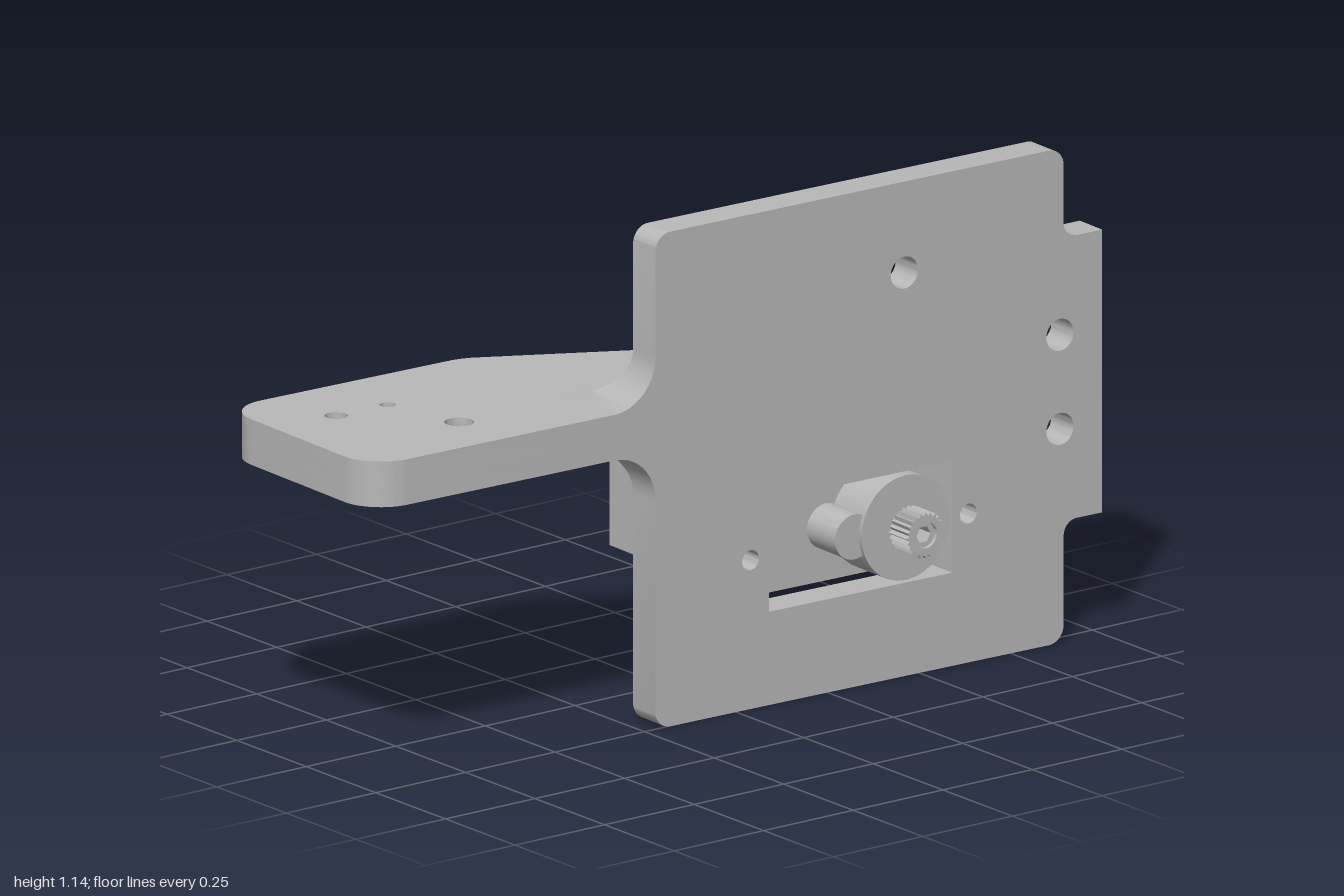
import * as THREE from 'three';
import { toCreasedNormals } from 'three/addons/utils/BufferGeometryUtils.js';

const grey = new THREE.MeshStandardMaterial({ color: 0xb8b8b8 });
grey.name = 'grey';

// Outline from [x, y, cornerRadius] points
function rounded(points) {
  const s = new THREE.Shape(), n = points.length;
  points.forEach(([x, y, r = 0], i) => {
    const p = new THREE.Vector2(x, y);
    const toward = (q) => p.clone().add(new THREE.Vector2(q[0], q[1]).sub(p).setLength(r));
    const a = r ? toward(points[(i + n - 1) % n]) : p;
    if (i === 0) s.moveTo(a.x, a.y); else s.lineTo(a.x, a.y);
    if (r) {
      const b = toward(points[(i + 1) % n]);
      s.bezierCurveTo(a.x + (x - a.x) * 0.55, a.y + (y - a.y) * 0.55,
        b.x + (x - b.x) * 0.55, b.y + (y - b.y) * 0.55, b.x, b.y);
    }
  });
  s.closePath();
  return s;
}
const rect = (x0, y0, x1, y1) => rounded([[x0, y0], [x1, y0], [x1, y1], [x0, y1]]);
function circle(x, y, r) {
  const s = new THREE.Shape();
  s.absarc(x, y, r, 0, Math.PI * 2, false);
  return s;
}

export function createModel() {
  const model = new THREE.Group();
  model.name = 'servoBracket';
  const add = (name, geometry, parent = model) => {
    const m = new THREE.Mesh(toCreasedNormals(geometry, 0.6), grey);
    m.name = name;
    parent.add(m);
    return m;
  };
  const extrude = (shape, holes, depth) => {
    shape.holes.push(...holes);
    return new THREE.ExtrudeGeometry(shape, { depth, bevelEnabled: false, curveSegments: 16 });
  };
  // Outline in (-z, y), extruded along x
  const alongX = (shape, x0, x1, holes = []) =>
    extrude(shape, holes, x1 - x0).rotateY(Math.PI / 2).translate(x0, 0, 0);
  // Outline in (x, -z), extruded along y
  const alongY = (shape, y0, y1, holes = []) =>
    extrude(shape, holes, y1 - y0).rotateX(-Math.PI / 2).translate(0, y0, 0);
  const box = (x0, x1, y0, y1, z0, z1) => new THREE.BoxGeometry(x1 - x0, y1 - y0, z1 - z0)
    .translate((x0 + x1) / 2, (y0 + y1) / 2, (z0 + z1) / 2);

  const left = 0.174, right = 0.257, front = 0.213, midY = 0.343;

  // Upright plate with back tab, window and bolt holes
  const plate = rounded([
    [-front, 0, 0.04], [0.902, 0, 0.04], [0.902, 0.28, 0.035], [1.007, 0.28],
    [1.007, 0.932], [0.902, 0.932, 0.035], [0.902, 1.14, 0.04], [-front, 1.14, 0.04],
  ]);
  add('plate', alongX(plate, left, right, [
    rect(0.097, 0.215, 0.597, 0.472),
    circle(0.467, 0.93, 0.037), circle(0.892, 0.71, 0.037), circle(0.892, 0.493, 0.037),
    circle(0.047, midY, 0.023), circle(0.642, midY, 0.023),
  ]));

  // Horizontal arm: solid upper layer, lower layer with a slotted pocket
  const armShape = () => rounded([
    [0.2, 0.42], [0.075, 0.365, 0.06], [-0.288, -0.345, 0.03], [-0.292, -0.99, 0.1],
    [right, -0.99, 0.1], [right, -0.2], [0.2, -0.2],
  ]);
  const bolt = () => circle(0.098, -0.632, 0.033);
  add('armTop', alongY(armShape(), 0.69, 0.745, [
    bolt(), circle(-0.1, -0.683, 0.018), circle(-0.101, -0.823, 0.026),
  ]));
  const slot = new THREE.Path();
  slot.absarc(-0.1, -0.683, 0.07, 0, Math.PI, false);
  slot.absarc(-0.1, -0.823, 0.07, Math.PI, Math.PI * 2, false);
  slot.closePath();
  add('armBottom', alongY(armShape(), 0.64, 0.69, [bolt(), slot]));

  // Concave fillets wrapping the plate corner, above and below the arm
  function fillet(y, sign) {
    const r = 0.112, steps = 14, pos = [], idx = [];
    for (let i = 0; i <= steps; i++) {
      const a = (i / steps) * Math.PI / 2;
      const d = r - r * Math.sin(a), h = y + sign * (r - r * Math.cos(a));
      const x = left - d, back = -0.405 + d * 0.5;
      pos.push(right, h, front + d, x, h, front + d, x, h, back, right - 0.02, h, -0.405,
        right - 0.02, h, front - 0.01, right, h, front - 0.01);
    }
    const tri = (a, b, c) => (sign > 0 ? idx.push(a, c, b) : idx.push(a, b, c));
    for (let i = 0; i < steps; i++) {
      for (let k = 0; k < 6; k++) {
        const a = i * 6 + k, b = i * 6 + (k + 1) % 6;
        tri(a, b, b + 6);
        tri(a, b + 6, a + 6);
      }
    }
    const g = new THREE.BufferGeometry();
    g.setAttribute('position', new THREE.Float32BufferAttribute(pos, 3));
    g.setIndex(idx);
    return g;
  }
  add('upperFillet', fillet(0.745, 1));
  add('lowerFillet', fillet(0.64, -1));

  // Servo motor
  const servo = new THREE.Group();
  servo.name = 'servo';
  model.add(servo);
  const y0 = 0.217, y1 = 0.468;
  add('servoBody', box(-0.352, 0.045, y0, y1, -0.6, -0.107), servo);
  add('servoUpperBody', box(0.045, 0.145, y0, y1, -0.59, -0.107), servo);
  for (const y of [y0 - 0.002, y1 + 0.002]) {
    add('label', box(-0.233, 0, y - 0.003, y + 0.003, -0.57, -0.14), servo);
  }

  // Mounting ears with open screw notches, and spacer blocks behind the plate
  for (const s of [-1, 1]) {
    const at = (v) => 0.347 + s * v;
    const ear = rounded([
      [at(0.23), y0], [at(0.342), y0], [at(0.342), midY - 0.013], [at(0.31), midY - 0.013],
      [at(0.295), midY - 0.024], [at(0.274), midY], [at(0.295), midY + 0.024],
      [at(0.31), midY + 0.013], [at(0.342), midY + 0.013], [at(0.342), y1], [at(0.23), y1],
    ]);
    add('ear', alongX(ear, 0.04, 0.1, []), servo);
    add('spacer', alongX(rect(at(0.26), y0, at(0.342), y1), 0.1, left, [
      circle(at(0.297), midY, 0.023),
    ]), servo);
  }

  // Gear tower, side boss and output spline
  const axis = 0.469;
  add('gearTower', alongX(circle(axis, midY, 0.121), 0.14, 0.26), servo);
  add('gearBoss', alongX(circle(0.335, midY, 0.052), 0.14, 0.25), servo);
  add('splineNeck', alongX(circle(axis, midY, 0.042), 0.255, 0.285), servo);
  const teeth = 24, spline = [];
  for (let i = 0; i < teeth * 2; i++) {
    const a = (i / teeth) * Math.PI, r = i % 2 ? 0.045 : 0.053;
    spline.push([axis + r * Math.cos(a), midY + r * Math.sin(a)]);
  }
  add('spline', alongX(rounded(spline), 0.268, 0.335, [circle(axis, midY, 0.03)]), servo);
  const hex = [];
  for (let i = 0; i < 6; i++) {
    const a = (i / 6) * Math.PI * 2;
    hex.push([axis + 0.02 * Math.cos(a), midY + 0.02 * Math.sin(a)]);
  }
  add('splineScrew', alongX(circle(axis, midY, 0.03), 0.27, 0.325, [rounded(hex)]), servo);

  // Three cable stubs on the back of the servo
  for (const dy of [-0.032, 0, 0.032]) {
    add('cable', new THREE.CylinderGeometry(0.015, 0.015, 0.06, 16)
      .rotateX(Math.PI / 2).translate(-0.253, midY + dy, -0.615), servo);
  }

  // Slight overall yaw
  model.rotation.y = -0.029;
  return model;
}
